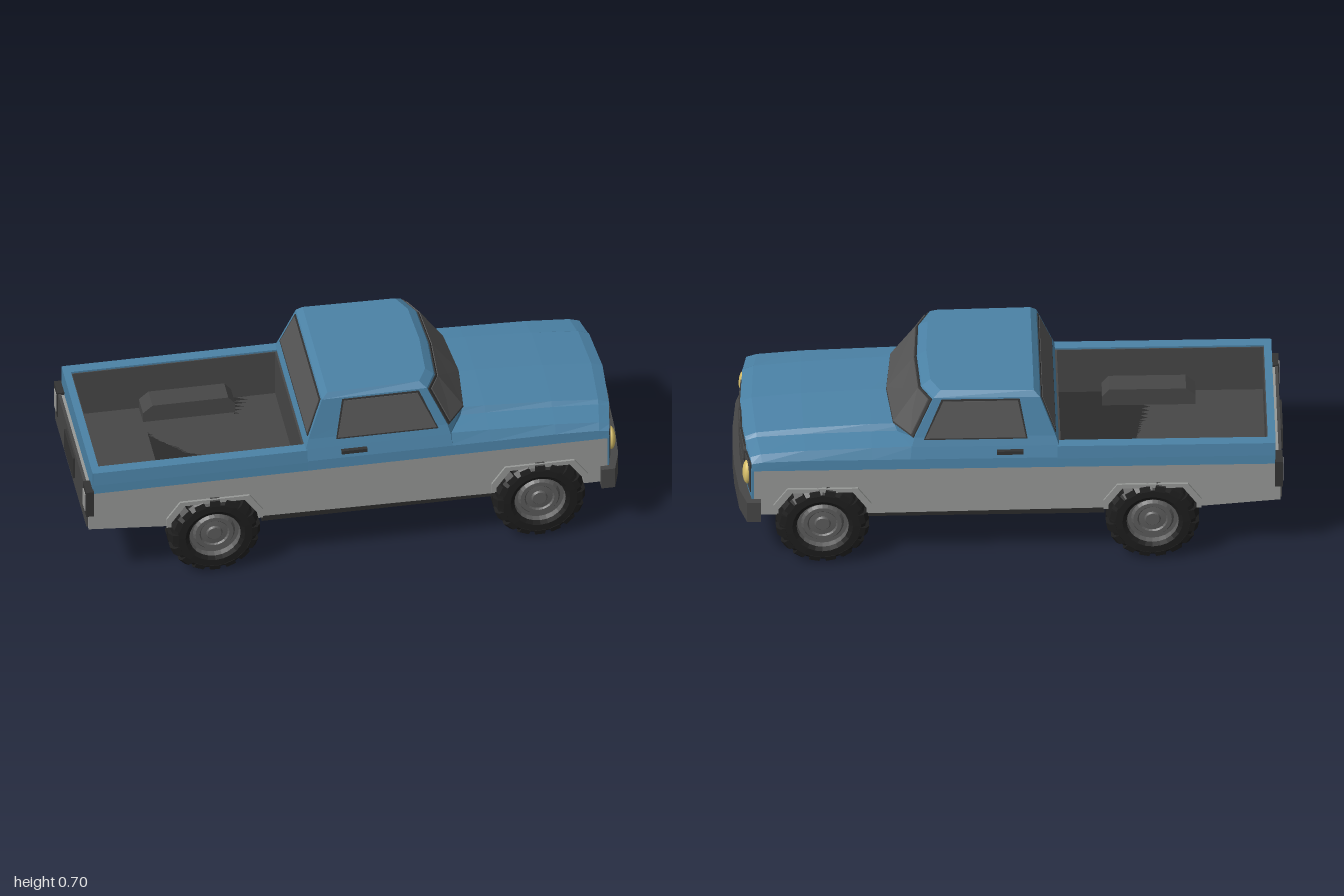
import * as THREE from 'three';

const mat = (name, color) => Object.assign(new THREE.MeshStandardMaterial({ color }), { name });

export function createModel() {
  const M = {
    blue: mat('blue paint', 0x4b82a6),
    grey: mat('grey paint', 0x979997),
    under: mat('underbody black', 0x2b2b2b),
    tyre: mat('tyre rubber', 0x1d1d1d),
    trim: mat('dark trim', 0x474747),
    glass: mat('smoked glass', 0x565656),
    seam: mat('black seal', 0x333333),
    hub: mat('hub metal', 0x5c5c5c),
    lamp: mat('headlight yellow', 0xd9c06a),
    lens: mat('tail lens', 0x9a9a98),
  };
  const truck = new THREE.Group();
  truck.name = 'pickupTruck';
  const add = (name, geo, material, parent = truck) => {
    const m = new THREE.Mesh(geo, material);
    m.name = name;
    parent.add(m);
    return m;
  };
  const flat = (g) => {
    const n = g.index ? g.toNonIndexed() : g;
    n.computeVertexNormals();
    return n;
  };
  // Box given by its limits
  const box = (name, x0, x1, y0, y1, z0, z1, material, parent) => {
    const m = add(name, new THREE.BoxGeometry(x1 - x0, y1 - y0, Math.abs(z1 - z0)), material, parent);
    m.position.set((x0 + x1) / 2, (y0 + y1) / 2, (z0 + z1) / 2);
    return m;
  };
  // Closed solid through rings of [x, y, z] points; winding is fixed by signed volume
  const loft = (rings) => {
    const n = rings[0].length, P = rings.flat(), tris = [];
    const centre = (r) => [0, 1, 2].map((k) => r.reduce((s, p) => s + p[k], 0) / n);
    P.push(centre(rings[0]), centre(rings.at(-1)));
    const last = (rings.length - 1) * n, c0 = rings.length * n;
    for (let i = 0; i < n; i++) {
      const j = (i + 1) % n;
      for (let r = 0; r < last; r += n) tris.push([r + i, r + j, r + n + j], [r + i, r + n + j, r + n + i]);
      tris.push([c0, j, i], [c0 + 1, last + i, last + j]);
    }
    const V = P.map((p) => new THREE.Vector3(...p));
    const volume = tris.reduce((s, [a, b, c]) => s + V[a].dot(V[b].clone().cross(V[c])), 0);
    if (volume < 0) tris.forEach((t) => t.reverse());
    const g = new THREE.BufferGeometry().setFromPoints(tris.flat().map((i) => V[i]));
    return flat(g);
  };
  // Thin plate: corner points pushed along an offset
  const plate = (name, pts, off, material) =>
    add(name, loft([pts, pts.map((p) => p.map((v, k) => v + off[k]))]), material);
  const extrudeZ = (pts, z0, z1) => {
    const s = new THREE.Shape(pts.map((p) => new THREE.Vector2(...p)));
    return new THREE.ExtrudeGeometry(s, { depth: z1 - z0, bevelEnabled: false }).translate(0, 0, z0);
  };
  // Half outline [a, z] mirrored across z = 0 (last point lies on the centre line)
  const mirror = (half) => [...half, ...half.slice(0, -1).reverse().map(([a, z]) => [a, -z])];
  const plan = (half, y0, y1) => loft([y0, y1].map((y) => mirror(half).map(([x, z]) => [x, y, z])));

  const axles = [-0.52, 0.68];
  const arch = (c, w, top, y) => [[c - w, y], [c - w, top - 0.07], [c - w + 0.05, top], [c + w - 0.05, top], [c + w, top - 0.07], [c + w, y]];

  // Lower body sides with wheel arches, flares, sills
  const side = [[-0.985, 0.25], ...arch(-0.52, 0.165, 0.315, 0.225), ...arch(0.68, 0.165, 0.315, 0.215), [0.93, 0.215], [0.93, 0.41], [-0.985, 0.41]];
  for (const s of [1, -1]) {
    const zs = (a, b) => (s > 0 ? [a, b] : [-b, -a]);
    const tag = s > 0 ? 'left' : 'right';
    add(tag + 'LowerSide', extrudeZ(side, ...zs(0.285, 0.335)), M.grey);
    for (const c of axles) {
      const flare = [...arch(c, 0.178, 0.332, 0.225), ...arch(c, 0.16, 0.315, 0.225).reverse()];
      add(tag + 'ArchFlare', extrudeZ(flare, ...zs(0.3, 0.344)), M.grey);
    }
    box(tag + 'Sill', -0.345, 0.515, 0.2, 0.224, s * 0.29, s * 0.332, M.under);
  }

  // Underbody: full width between the wheels, narrow beside them
  [[-0.685, -0.355, 0.22], [-0.355, 0.515, 0.3], [0.515, 0.845, 0.22], [0.845, 0.93, 0.3]].forEach(([a, b, w]) =>
    box('underbody', a, b, 0.21, 0.3, -w, w, M.under));
  add('rearUnderbody', extrudeZ([[-0.98, 0.248], [-0.685, 0.222], [-0.685, 0.29], [-0.98, 0.29]], -0.3, 0.3), M.under);
  box('engineBay', -0.17, 0.9, 0.32, 0.405, -0.29, 0.29, M.under);
  for (const c of axles) box('axle', c - 0.02, c + 0.02, 0.15, 0.19, -0.24, 0.24, M.under);

  // Cab: stacked outlines, rear corner to front centre
  const cabRows = [
    [0.41, [[-0.18, 0], [-0.18, 0.335], [0.36, 0.335], [0.41, 0.21], [0.44, 0]]],
    [0.45, [[-0.18, 0], [-0.18, 0.331], [0.36, 0.331], [0.41, 0.21], [0.44, 0]]],
    [0.495, [[-0.18, 0], [-0.18, 0.317], [0.355, 0.317], [0.415, 0.21], [0.44, 0]]],
    [0.53, [[-0.168, 0], [-0.168, 0.305], [0.345, 0.305], [0.415, 0.21], [0.435, 0]]],
    [0.68, [[-0.112, 0], [-0.112, 0.272], [0.275, 0.27], [0.315, 0.19], [0.325, 0]]],
    [0.7, [[-0.09, 0], [-0.09, 0.258], [0.25, 0.25], [0.285, 0.18], [0.295, 0]]],
  ];
  add('cab', loft(cabRows.map(([y, h]) => mirror(h).slice(0, -1).map(([x, z]) => [x, y, z]))), M.blue);

  // Points on the cab between belt line and roof edge
  const lower = cabRows[3], upper = cabRows[4];
  const onCab = (i, y, s) => {
    const t = (y - 0.53) / 0.15, [a, b] = [lower[1][i], upper[1][i]];
    return [a[0] + (b[0] - a[0]) * t, y, s * (a[1] + (b[1] - a[1]) * t)];
  };
  for (const s of [1, -1]) {
    // Windshield halves: seal strip and glass
    for (const [i, j] of [[2, 3], [3, 4]]) {
      const strip = (y0, y1, trim) => [[i, y0], [j, y0], [j, y1], [i, y1]].map(([k, y]) => {
        const p = onCab(k, y, s);
        if (k === 2) { p[2] -= s * trim; p[0] += trim * 0.7; }
        return p;
      });
      plate('windshieldSeal', strip(0.527, 0.674, 0.002), [0.004, 0.002, 0], M.seam);
      plate('windshield', strip(0.533, 0.667, 0.011), [0.007, 0.003, 0], M.glass);
    }
    // Side windows
    const sideZ = (y) => s * (0.305 - (y - 0.53) * 0.23);
    const win = (g) => [[-0.06 - g, 0.527 - g], [0.305 + g, 0.527 - g], [0.24 + g, 0.668 + g], [-0.032 - g, 0.668 + g]].map(([x, y]) => [x, y, sideZ(y)]);
    plate('sideWindowSeal', win(0.006), [0, 0, s * 0.003], M.seam);
    plate('sideWindow', win(0), [0, 0, s * 0.005], M.glass);
    box('doorHandle', -0.05, 0.045, 0.468, 0.482, s * 0.318, s * 0.336, M.seam);
  }
  // Rear window
  const rear = (g) => [[0.54 - g, -1], [0.54 - g, 1], [0.665 + g, 1], [0.665 + g, -1]].map(([y, s]) =>
    [-0.168 + (y - 0.53) * 0.373, y, s * (0.28 - (y - 0.54) * 0.22 + g)]);
  plate('rearWindowSeal', rear(0.007), [-0.003, 0, 0], M.seam);
  plate('rearWindow', rear(0), [-0.005, 0, 0], M.glass);

  // Hood and fenders: cross-sections along x, bowed at the nose
  const hood = [
    [0.34, 0, [0.41, 0.45, 0.495, 0.502, 0.527, 0.532]],
    [0.5, 0, [0.41, 0.45, 0.49, 0.5, 0.522, 0.528]],
    [0.75, 0.01, [0.41, 0.45, 0.482, 0.492, 0.508, 0.516]],
    [0.93, 0.03, [0.41, 0.445, 0.469, 0.482, 0.492, 0.5]],
    [0.972, 0.035, [0.41, 0.438, 0.457, 0.468, 0.476, 0.484]],
  ];
  const hoodZ = [0.335, 0.331, 0.312, 0.222, 0.207, 0];
  add('hood', loft(hood.map(([x, bow, ys]) => mirror(ys.map((y, i) => [y, hoodZ[i]]))
    .map(([y, z]) => [x - bow * (z / 0.335) ** 2, y, z]))), M.blue);

  // Nose panel, grille, headlights, bumper
  const noseX = (z) => 0.972 - 0.035 * (z / 0.335) ** 2;
  const nose = [0.332, 0.3, 0.22, 0.1, 0].map((z) => [noseX(z), z]);
  add('nosePanel', plan([[0.88, 0.332], ...nose], 0.285, 0.412), M.blue);
  const frontPlate = (name, z0, z1, y0, y1, lift, material, cut0 = 0, cut1 = 0) => {
    const pts = [[z0, y0 + cut0], [z0 + cut0 / 2, y0], [z1 - cut1 / 2, y0], [z1, y0 + cut1], [z1, y1 - cut1], [z1 - cut1 / 2, y1], [z0 + cut0 / 2, y1], [z0, y1 - cut0]];
    plate(name, pts.map(([z, y]) => [noseX(z) - 0.003, y, z]), [lift + 0.003, 0, 0], material);
  };
  [[-0.218, -0.092], [-0.092, 0.092], [0.092, 0.218]].forEach(([a, b], i) => {
    const c0 = i === 0 ? 0.02 : 0, c1 = i === 2 ? 0.02 : 0;
    frontPlate('grilleFrame', a, b, 0.296, 0.436, 0.003, M.seam, c0, c1);
    for (const y of [0.302, 0.37])
      frontPlate('grilleCell', a + 0.005, b - 0.005, y, y + 0.06, 0.006, M.trim, c0 / 2, c1 / 2);
  });
  for (const s of [1, -1]) {
    const c = s * 0.276;
    frontPlate('headlightSurround', c - 0.045, c + 0.045, 0.307, 0.43, 0.003, M.seam);
    frontPlate('headlightBezel', c - 0.039, c + 0.039, 0.313, 0.424, 0.005, M.trim);
    const lamp = add('headlight', new THREE.SphereGeometry(1, 16, 12), M.lamp);
    lamp.scale.set(0.018, 0.047, 0.036);
    lamp.position.set(noseX(c) + 0.004, 0.367, c);
  }
  add('frontBumper', plan([[0.905, 0.358], [0.955, 0.358], [0.982, 0.27], [0.996, 0.12], [1, 0]], 0.2, 0.285), M.trim);

  // Cargo bed: rails, tailgate, lining, wheel boxes
  for (const s of [1, -1]) {
    const rail = [[0.335, 0.41], [0.332, 0.445], [0.325, 0.495], [0.285, 0.495], [0.285, 0.41]];
    add('bedRail', loft([-0.965, -0.175].map((x) => rail.map(([z, y]) => [x, y, s * z]))), M.blue);
    box('bedSideLining', -0.94, -0.18, 0.3, 0.488, s * 0.281, s * 0.287, M.trim);
    const wheelBox = extrudeZ([[-0.69, 0.295], [-0.35, 0.295], [-0.35, 0.34], [-0.375, 0.37], [-0.655, 0.37], [-0.69, 0.34]], s > 0 ? 0.195 : -0.283, s > 0 ? 0.283 : -0.195);
    add('bedWheelBox', wheelBox, M.trim);
  }
  box('bedFloor', -0.94, -0.17, 0.285, 0.3, -0.285, 0.285, M.trim);
  box('bedFrontLining', -0.187, -0.178, 0.3, 0.488, -0.285, 0.285, M.trim);
  box('bedRearLining', -0.945, -0.936, 0.3, 0.488, -0.285, 0.285, M.trim);
  box('tailgate', -0.968, -0.94, 0.405, 0.495, -0.322, 0.322, M.blue);
  box('rearPanel', -0.985, -0.943, 0.25, 0.41, -0.29, 0.29, M.grey);
  box('rearTrim', -0.991, -0.98, 0.255, 0.415, -0.325, 0.325, M.trim);
  box('rearPlate', -1, -0.985, 0.3, 0.39, -0.09, 0.09, M.seam);
  for (const s of [1, -1]) {
    box('tailLightFrame', -0.994, -0.965, 0.31, 0.42, s * 0.265, s * 0.338, M.seam);
    box('tailLight', -0.997, -0.99, 0.325, 0.4, s * 0.28, s * 0.322, M.lens);
  }

  // Wheels: chunky tyre with staggered lugs and a stepped hub on both faces
  const v2 = (list) => list.map((p) => new THREE.Vector2(...p));
  const tyreProfile = v2([[0.095, -0.052], [0.11, -0.06], [0.14, -0.058], [0.157, -0.04], [0.162, 0], [0.157, 0.04], [0.14, 0.058], [0.11, 0.06], [0.095, 0.052]]);
  const hubProfile = v2([[0, 0.045], [0.025, 0.045], [0.03, 0.038], [0.05, 0.036], [0.055, 0.042], [0.07, 0.042], [0.078, 0.03], [0.092, 0.03], [0.1, 0.054], [0.1, 0], [0, 0]].reverse());
  const turn = (profile) => flat(new THREE.LatheGeometry(profile, 24)).rotateX(Math.PI / 2);
  const tyreGeo = turn(tyreProfile), hubGeo = turn(hubProfile);
  const lugGeo = loft([[0.135, 0.061, 0.02], [0.156, 0.055, 0.018], [0.17, 0.034, 0.016]].map(([r, w, h]) =>
    [[-h, r, -0.002], [h, r, -0.002], [h, r, w], [-h, r, w]]));
  for (const x of axles) for (const s of [1, -1]) {
    const wheel = new THREE.Group();
    wheel.name = (x > 0 ? 'front' : 'rear') + (s > 0 ? 'Left' : 'Right') + 'Wheel';
    wheel.position.set(x, 0.17, s * 0.293);
    add('tyre', tyreGeo, M.tyre, wheel);
    add('outerHub', hubGeo, M.hub, wheel);
    add('innerHub', hubGeo, M.hub, wheel).rotation.y = Math.PI;
    for (let i = 0; i < 32; i++) {
      const lug = add('treadLug', lugGeo, M.tyre, wheel);
      lug.rotation.set(0, i % 2 ? Math.PI : 0, (i % 2 ? -1 : 1) * (i / 32) * Math.PI * 2, 'ZYX');
      lug.rotation.z = (i / 32) * Math.PI * 2;
    }
    truck.add(wheel);
  }
  return truck;
}
